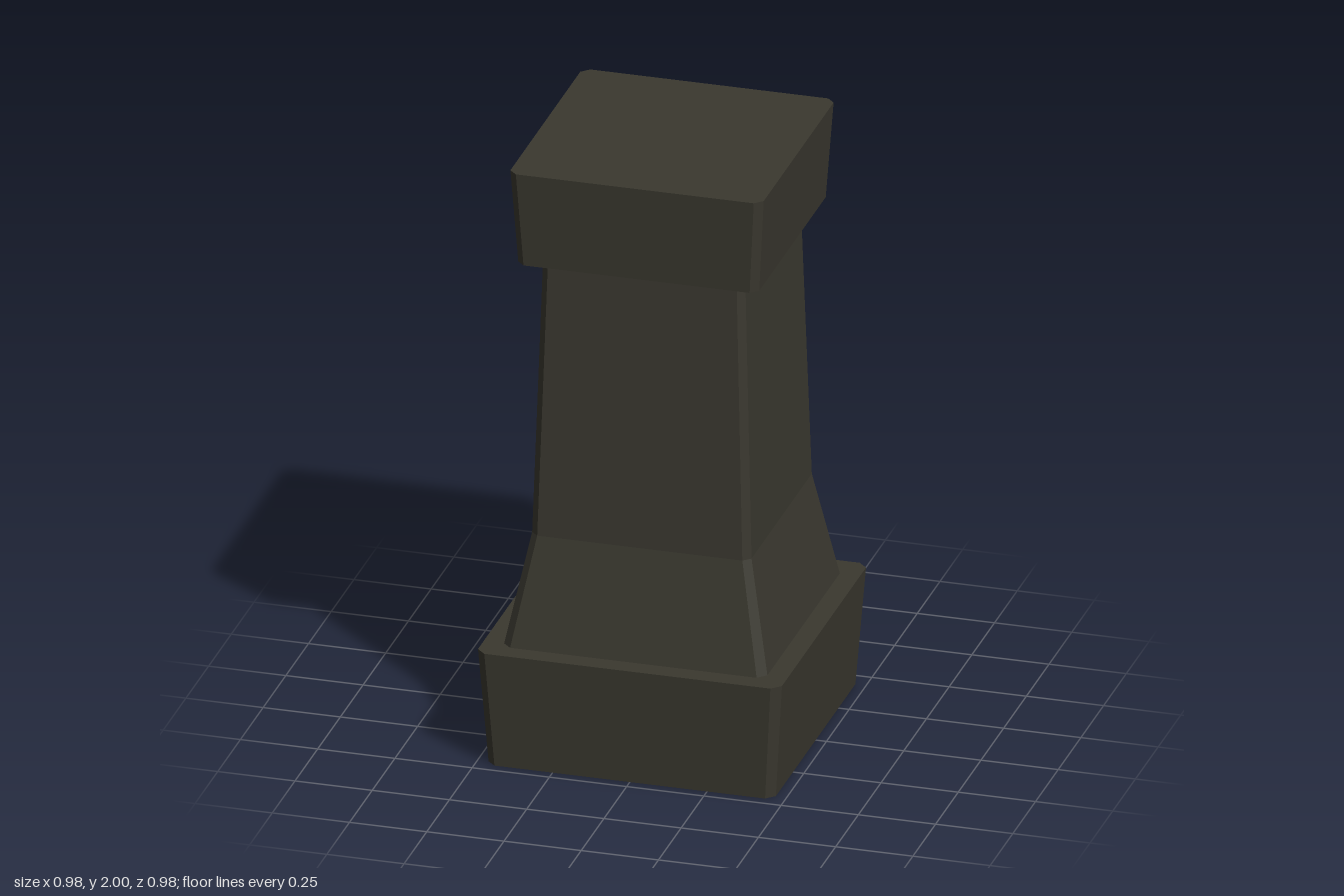
import * as THREE from 'three';

// Square with cut corners, counter-clockwise seen from above
function ring([half, cut, y]) {
  const h = half, k = half - cut;
  return [[h, k], [h, -k], [k, -h], [-k, -h], [-h, -k], [-h, k], [-k, h], [k, h]]
    .map(([x, z]) => [x, y, z]);
}

// Skin a list of [halfWidth, cornerCut, y] sections, optionally closing the top
function loft(sections, closeTop) {
  const rings = sections.map(ring);
  const positions = [];
  const tri = (a, b, c) => positions.push(...a, ...b, ...c);
  for (let s = 0; s < rings.length - 1; s++) {
    const low = rings[s], up = rings[s + 1];
    for (let i = 0; i < 8; i++) {
      const j = (i + 1) % 8;
      tri(low[i], low[j], up[j]);
      tri(low[i], up[j], up[i]);
    }
  }
  if (closeTop) {
    const top = rings[rings.length - 1];
    for (let i = 1; i < 7; i++) tri(top[0], top[i], top[i + 1]);
  }
  const geometry = new THREE.BufferGeometry();
  geometry.setAttribute('position', new THREE.Float32BufferAttribute(positions, 3));
  geometry.computeVertexNormals();
  return geometry;
}

export function createModel() {
  const group = new THREE.Group();
  group.name = 'pillar';
  const stone = new THREE.MeshStandardMaterial({
    color: 0x3a382f, flatShading: true, side: THREE.DoubleSide,
  });
  stone.name = 'dark stone';

  const add = (name, sections, closeTop = false) => {
    const mesh = new THREE.Mesh(loft(sections, closeTop), stone);
    mesh.name = name;
    group.add(mesh);
  };

  // Hollow plinth, open underneath, with a flat ledge round the shaft
  add('base', [[0.465, 0.027, 0], [0.492, 0.029, 0.39], [0.426, 0.027, 0.39]]);
  // Tapered shaft with a flared foot
  add('shaft', [[0.426, 0.027, 0.39], [0.355, 0.023, 0.75], [0.328, 0.022, 1.655]]);
  // Cap with a sloped underside
  add('cap', [[0.328, 0.022, 1.655], [0.39, 0.024, 1.683], [0.41, 0.025, 2]], true);

  return group;
}
